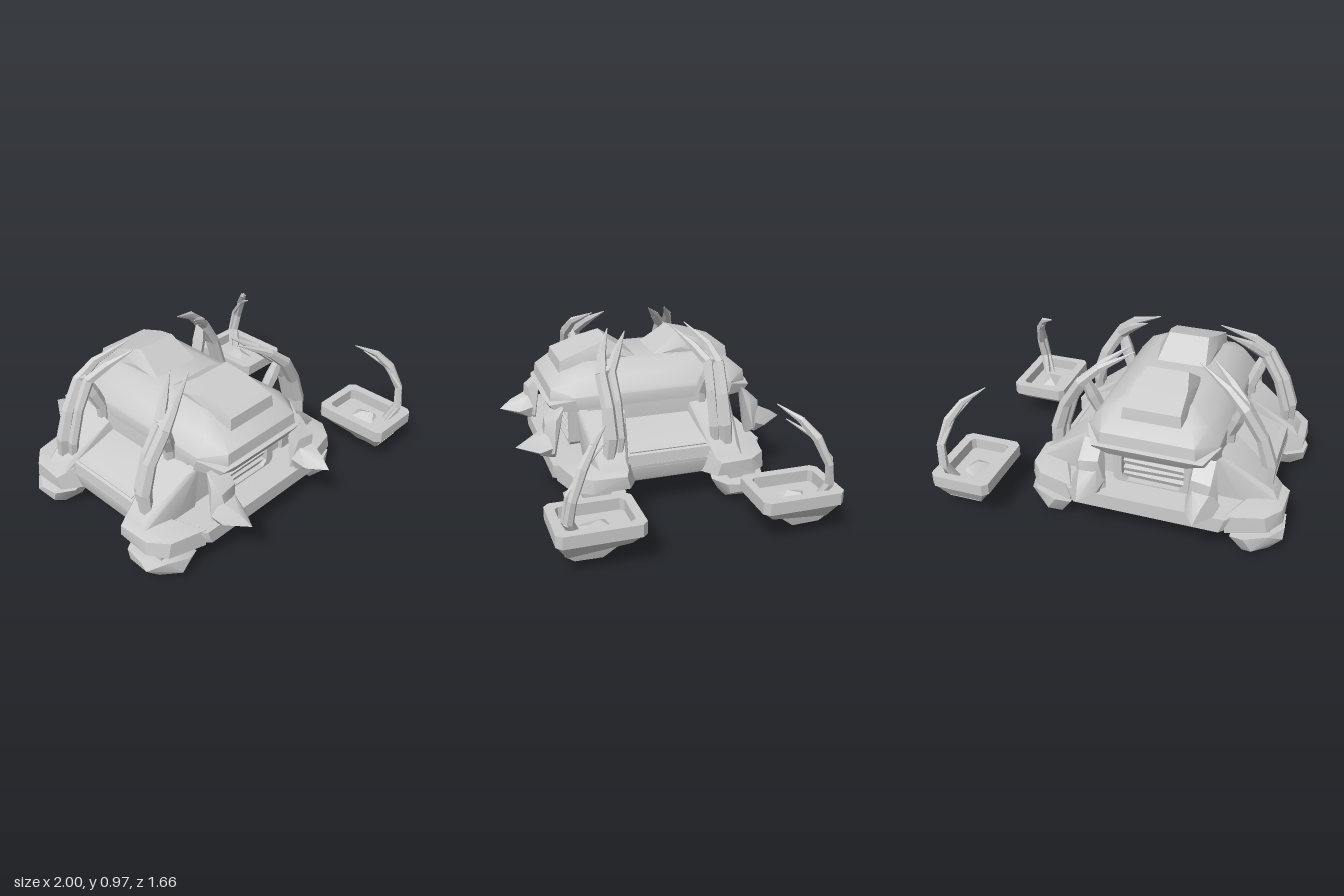
import * as THREE from 'three';
import { toCreasedNormals } from 'three/addons/utils/BufferGeometryUtils.js';
import { ConvexGeometry } from 'three/addons/geometries/ConvexGeometry.js';

const material = new THREE.MeshStandardMaterial({ color: 0xcccccc, side: THREE.DoubleSide });
const V = (p) => new THREE.Vector3(...p);
const V2 = (p) => new THREE.Vector2(...p);
const CORNERS = [[1, 1], [-1, 1], [1, -1], [-1, -1]];

function add(parent, name, geometry, crease = 0.6) {
  const mesh = new THREE.Mesh(toCreasedNormals(geometry, crease), material);
  mesh.name = name;
  parent.add(mesh);
  return mesh;
}

// Faceted solid around a few corner points
function solid(parent, name, points, [sx, sz] = [1, 1]) {
  return add(parent, name, new ConvexGeometry(points.map(([x, y, z]) => V([x * sx, y, z * sz]))));
}

// Faceted solid symmetric left to right and front to back
function symmetric(parent, name, quarter) {
  return solid(parent, name, CORNERS.flatMap(([sx, sz]) => quarter.map(([x, y, z]) => [x * sx, y, z * sz])));
}

// Jointed, tapering limb following a list of points
function limb(parent, name, points, radii, [sx, sz]) {
  const group = new THREE.Group();
  group.name = name;
  const path = points.map(([x, y, z]) => V([x * sx, y, z * sz]));
  for (let i = 0; i < path.length - 1; i++) {
    const dir = path[i + 1].clone().sub(path[i]);
    const g = new THREE.CylinderGeometry(radii[i + 1], radii[i], dir.length() * 1.06, 6);
    const bone = add(group, 'limbSegment', g, 0.9);
    bone.position.copy(path[i]).addScaledVector(dir, 0.5);
    bone.quaternion.setFromUnitVectors(V([0, 1, 0]), dir.normalize());
  }
  parent.add(group);
}

// Flat plate with a hole, both given as outlines
function frame(outline, hole, depth) {
  const shape = new THREE.Shape(outline.map(V2));
  shape.holes.push(new THREE.Path(hole.map(V2)));
  return new THREE.ExtrudeGeometry(shape, { depth, bevelEnabled: false });
}

// Rectangle outline with cut corners
function cutRect(x0, x1, y0, y1, c) {
  return [[x0 + c, y0], [x1 - c, y0], [x1, y0 + c], [x1, y1 - c], [x1 - c, y1], [x0 + c, y1], [x0, y1 - c], [x0, y0 + c]];
}

// Slatted grille in a frame, under the brow
function grille(parent, s) {
  const end = new THREE.Group();
  end.name = s > 0 ? 'frontGrille' : 'rearGrille';
  const plate = frame(cutRect(-0.23, 0.23, 0.26, 0.55, 0.03), cutRect(-0.18, 0.18, 0.275, 0.51, 0.03), 0.07);
  add(end, 'grilleFrame', plate).position.z = 0.42;
  for (let i = 0; i < 5; i++) {
    const slat = add(end, 'grilleSlat', new THREE.BoxGeometry(0.35, 0.03, 0.04));
    slat.position.set(0, 0.305 + i * 0.043, 0.45);
    slat.rotation.set(0.4, 0, i % 2 ? 0.03 : -0.03);
  }
  end.rotation.y = s > 0 ? 0 : Math.PI;
  parent.add(end);
}

// One quarter of the running gear
function corner(parent, c) {
  solid(parent, 'cornerHousing', [
    [0.73, 0.19, 0.26], [0.74, 0.27, 0.28], [0.74, 0.19, 0.47], [0.73, 0.27, 0.47], [0.67, 0.18, 0.57],
    [0.65, 0.27, 0.57], [0.45, 0.16, 0.62], [0.44, 0.265, 0.62], [0.62, 0.18, 0.2], [0.64, 0.31, 0.24],
    [0.67, 0.3, 0.4], [0.45, 0.14, 0.25]], c);
  solid(parent, 'haunch', [
    [0.7, 0.28, 0.26], [0.66, 0.34, 0.27], [0.7, 0.28, 0.42], [0.66, 0.34, 0.4], [0.5, 0.27, 0.45], [0.36, 0.27, 0.45],
    [0.35, 0.54, 0.47], [0.41, 0.52, 0.45], [0.4, 0.53, 0.2], [0.3, 0.28, 0.2], [0.52, 0.42, 0.22]], c);
  solid(parent, 'foot', [
    [0.47, 0.12, 0.36], [0.52, 0.14, 0.29], [0.64, 0.13, 0.26], [0.74, 0.13, 0.32], [0.75, 0.12, 0.43],
    [0.75, 0.08, 0.48], [0.68, 0.14, 0.56], [0.55, 0.13, 0.61], [0.47, 0.1, 0.57], [0.48, 0.05, 0.34],
    [0.74, 0.07, 0.34], [0.66, 0.02, 0.34], [0.68, 0.02, 0.5], [0.54, 0, 0.54], [0.54, 0.01, 0.34],
    [0.6, 0.05, 0.6], [0.62, 0.0, 0.45]], c);
  solid(parent, 'footStrut', [[0.53, 0.1, 0.36], [0.68, 0.1, 0.36], [0.68, 0.1, 0.52], [0.53, 0.1, 0.52],
    [0.53, 0.24, 0.36], [0.68, 0.24, 0.36], [0.68, 0.24, 0.52], [0.53, 0.24, 0.52]], c);
  // Free-standing brow pillar with a claw pointing outwards
  solid(parent, 'browPillar', [
    [0.41, 0.31, 0.62], [0.33, 0.25, 0.6], [0.23, 0.3, 0.62], [0.39, 0.5, 0.6], [0.24, 0.48, 0.59],
    [0.26, 0.57, 0.57], [0.37, 0.57, 0.55], [0.34, 0.28, 0.69], [0.37, 0.48, 0.66], [0.26, 0.49, 0.65]], c);
  solid(parent, 'pillarClaw', [
    [0.42, 0.35, 0.63], [0.37, 0.43, 0.65], [0.27, 0.43, 0.65], [0.23, 0.36, 0.63], [0.26, 0.28, 0.64],
    [0.38, 0.28, 0.64], [0.4, 0.32, 0.7], [0.25, 0.33, 0.72], [0.34, 0.39, 0.76], [0.32, 0.34, 0.83]], c);
  // Curved claw arm in three strands
  limb(parent, 'clawArm', [[0.62, 0.29, 0.36], [0.62, 0.46, 0.34], [0.57, 0.62, 0.34], [0.47, 0.78, 0.35], [0.37, 0.87, 0.32], [0.19, 0.96, 0.24]],
    [0.034, 0.044, 0.038, 0.036, 0.026, 0.003], c);
  limb(parent, 'clawArmStrand', [[0.6, 0.29, 0.3], [0.6, 0.45, 0.28], [0.54, 0.64, 0.28], [0.45, 0.79, 0.29], [0.36, 0.87, 0.23], [0.24, 0.95, 0.15]],
    [0.024, 0.03, 0.028, 0.032, 0.026, 0.003], c);
  limb(parent, 'clawArmBrace', [[0.46, 0.81, 0.32], [0.42, 0.69, 0.3], [0.38, 0.59, 0.28], [0.38, 0.4, 0.28]],
    [0.024, 0.04, 0.036, 0.024], c);
}

// Separate open tray with its own curved arm
function pod(parent, c) {
  const group = new THREE.Group();
  group.name = 'sidePod';
  group.position.set(0.82, 0, 0.55 * c[1]);
  parent.add(group);
  const s = [1, c[1]];
  const rim = add(group, 'podRim', frame(cutRect(-0.18, 0.18, -0.235, 0.235, 0.03), cutRect(-0.125, 0.125, -0.185, 0.185, 0.02), 0.07));
  rim.rotation.x = -Math.PI / 2;
  rim.position.y = 0.19;
  // Sloping shell, deepest towards the outer end
  solid(group, 'podTray', [1, -1].flatMap((m) => [[0.175 * m, 0.192, 0.2], [0.15 * m, 0.192, 0.23], [0.175 * m, 0.192, -0.2],
    [0.15 * m, 0.192, -0.23], [0.12 * m, 0.13, -0.16], [0.1 * m, 0.09, 0.17]]), s);
  solid(group, 'podKeel', [[-0.09, 0.12, -0.12], [0.1, 0.13, -0.12], [0.1, 0.1, 0.18], [-0.09, 0.1, 0.18],
    [-0.05, 0.045, 0], [0.08, 0.05, -0.02], [0.09, 0.06, 0.13], [-0.05, 0.06, 0.13], [0.02, 0.03, 0.05]], s);
  solid(group, 'podLump', [[-0.07, 0.18, -0.08], [0.05, 0.18, -0.1], [0.07, 0.18, 0.06], [-0.05, 0.18, 0.1],
    [0, 0.225, -0.02], [0.04, 0.22, 0.04]], s);
  limb(group, 'podArm', [[0.08, 0.18, 0.1], [0.12, 0.3, 0.16], [0.135, 0.42, 0.14], [0.1, 0.56, 0.08], [0.04, 0.65, 0.01], [-0.06, 0.71, -0.08]],
    [0.02, 0.028, 0.024, 0.028, 0.02, 0.003], s);
  limb(group, 'podArmStrand', [[0.05, 0.18, 0.13], [0.1, 0.3, 0.18], [0.11, 0.44, 0.16], [0.08, 0.57, 0.06], [0.01, 0.65, -0.06]],
    [0.012, 0.016, 0.014, 0.014, 0.003], s);
}

export function createModel() {
  const model = new THREE.Group();
  model.name = 'clawedCrawler';
  const body = new THREE.Group();
  body.name = 'crawlerBody';
  body.position.x = -0.25;
  model.add(body);

  symmetric(body, 'hull', [[0.34, 0.1, 0.55], [0.45, 0.1, 0.3], [0.53, 0.13, 0.3], [0.42, 0.17, 0.64], [0.45, 0.26, 0.64],
    [0.62, 0.18, 0.45], [0.64, 0.265, 0.4], [0.63, 0.2, 0.18], [0.64, 0.28, 0.15]]);
  add(body, 'bellyPlate', new THREE.BoxGeometry(0.56, 0.02, 0.62)).position.y = 0.105;
  symmetric(body, 'sideDeck', [[0.64, 0.26, 0.3], [0.63, 0.34, 0.3], [0.4, 0.42, 0.3], [0.35, 0.48, 0.28]]);
  symmetric(body, 'cabin', [[0.37, 0.26, 0.43], [0.38, 0.45, 0.42], [0.36, 0.6, 0.4]]);
  symmetric(body, 'roof', [[0.29, 0.53, 0.57], [0.27, 0.57, 0.61], [0.26, 0.65, 0.6], [0.37, 0.55, 0.48],
    [0.37, 0.62, 0.48], [0.3, 0.71, 0.46], [0.22, 0.72, 0.52], [0.2, 0.77, 0.38], [0.2, 0.765, 0.1], [0.3, 0.71, 0.1],
    [0.36, 0.55, 0.1], [0.36, 0.64, 0.1]]);
  for (const s of [1, -1]) {
    // Raised wedge and brow lip at each end
    solid(body, 'roofWedge', [1, -1].flatMap((m) => [[0.17 * m, 0.7, 0.53], [0.16 * m, 0.78, 0.52], [0.12 * m, 0.88, 0.22],
      [0.15 * m, 0.84, 0.35], [0.15 * m, 0.75, 0.03], [0.18 * m, 0.74, 0.45], [0.17 * m, 0.8, 0.22]]), [1, s]);
    solid(body, 'browLip', [1, -1].flatMap((m) => [[0.38 * m, 0.54, 0.46], [0.38 * m, 0.61, 0.48], [0.32 * m, 0.53, 0.58],
      [0.31 * m, 0.57, 0.62], [0.22 * m, 0.52, 0.6], [0.22 * m, 0.58, 0.635]]), [1, s]);
    grille(body, s);
    // Trim strips along each deck
    for (const [x, y] of [[0.6, 0.35], [0.47, 0.4]]) {
      const strip = add(body, 'deckStrip', new THREE.BoxGeometry(0.03, 0.02, 0.46));
      strip.position.set(x * s, y, 0);
      strip.rotation.z = -0.35 * s;
    }
  }
  CORNERS.forEach((c) => corner(body, c));
  [[1, 1], [1, -1]].forEach((c) => pod(model, c));
  return model;
}
